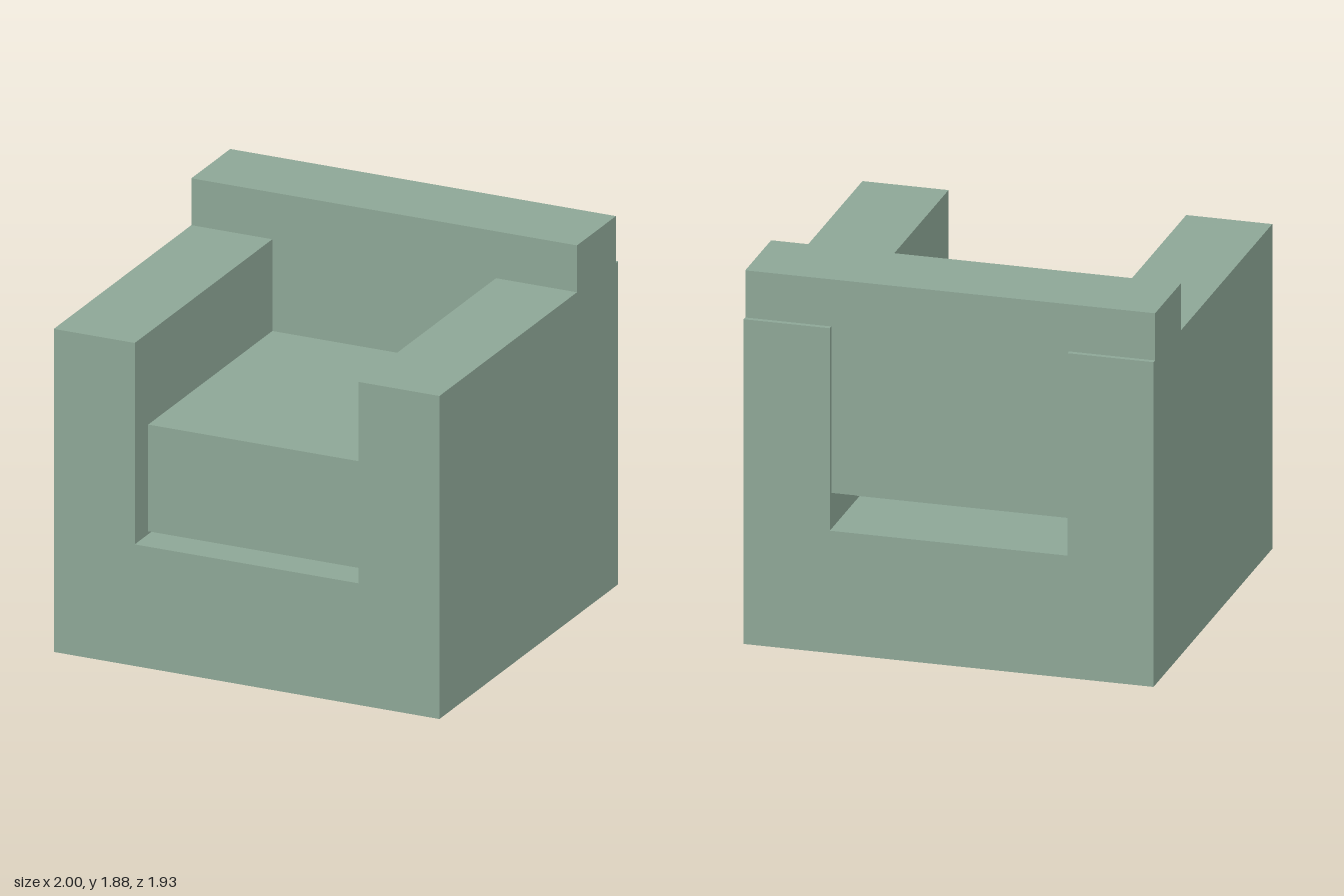
import * as THREE from 'three';

export function createModel() {
  const group = new THREE.Group();
  const fabric = new THREE.MeshStandardMaterial({ color: 0x8da696 });
  fabric.name = 'sage green';

  const add = (name, geometry) => {
    const mesh = new THREE.Mesh(geometry, fabric);
    mesh.name = name;
    group.add(mesh);
    return mesh;
  };

  // Extrudes a front outline, given as its right half and mirrored, from z0 to z1
  const extrude = (half, z0, z1) => {
    const mirrored = half.map(([x, y]) => [-x, y]).reverse();
    const shape = new THREE.Shape([...half, ...mirrored].map(([x, y]) => new THREE.Vector2(x, y)));
    return new THREE.ExtrudeGeometry(shape, { depth: z1 - z0, bevelEnabled: false }).translate(0, 0, z0);
  };

  // U-shaped body: base and both arms
  add('armFrame', extrude([[1, 0.03], [1, 1.65], [0.58, 1.65], [0.58, 0.64]], -0.965, 0.965));

  // Backrest fits between the arms and widens above them
  add('backrest', extrude([[0.58, 0.82], [0.58, 1.65], [1, 1.65], [1, 1.885]], -0.94, -0.52));

  // Seat cushion, just clear of the base
  add('seatCushion', new THREE.BoxGeometry(1.16, 0.535, 1.34)).position.set(0, 0.9225, 0.15);

  // Four small square feet
  for (const x of [-0.765, 0.765]) {
    for (const z of [-0.73, 0.73]) {
      add('foot', new THREE.BoxGeometry(0.115, 0.03, 0.115)).position.set(x, 0.015, z);
    }
  }
  return group;
}
